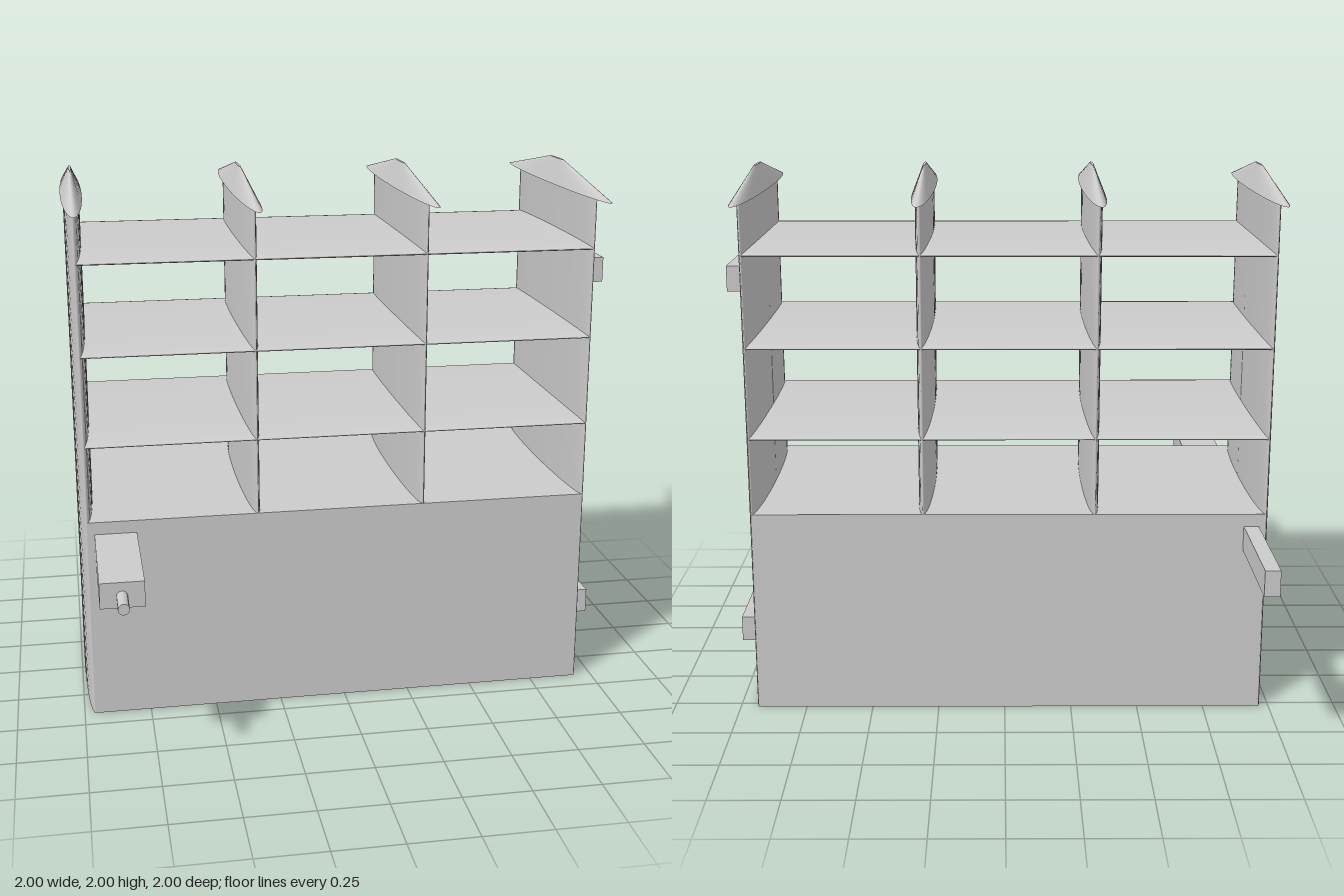
import * as THREE from 'three';

const MAT = new THREE.MeshStandardMaterial({ color: 0xcccccc });
const DEPTH = 0.47;   // half depth of posts and rails
const Z = -0.06;      // centre plane of the gate
const LEFT = 0.93, RIGHT = -0.96;

export function createModel() {
  const model = new THREE.Group();
  model.name = 'gate';

  const add = (name, geometry, x, y, z) => {
    const mesh = new THREE.Mesh(geometry, MAT);
    mesh.name = name;
    mesh.position.set(x, y, z);
    model.add(mesh);
    return mesh;
  };

  // box given by its limits on each axis
  const addBox = (name, [x0, x1], [y0, y1], [z0, z1]) =>
    add(name, new THREE.BoxGeometry(x1 - x0, y1 - y0, z1 - z0),
      (x0 + x1) / 2, (y0 + y1) / 2, (z0 + z1) / 2);

  // deep elliptical posts with blunt pointed caps
  for (let i = 0; i < 4; i++) {
    const x = RIGHT + i * (LEFT - RIGHT) / 3;
    const post = new THREE.CylinderGeometry(1, 1, 1.91, 48).scale(0.03, 1, DEPTH);
    add('post', post, x, 0.955, Z);
    const cap = new THREE.CylinderGeometry(0.128, 1, 0.092, 48).scale(0.04, 1, 0.625);
    add('postCap', cap, x, 1.954, Z);
  }

  // horizontal rails, flattened the same way
  for (const y of [1.05, 1.385, 1.72]) {
    const rail = new THREE.CylinderGeometry(1, 1, LEFT - RIGHT, 48)
      .rotateZ(Math.PI / 2).scale(1, 0.025, DEPTH);
    add('rail', rail, (LEFT + RIGHT) / 2, y, Z);
  }

  // solid lower panel
  addBox('panel', [RIGHT, LEFT], [0, 0.765], [Z - DEPTH, Z + DEPTH]);

  // hinge plates on the left side
  for (const y of [0.24, 1.58]) {
    addBox('hinge', [0.94, 0.995], [y, y + 0.093], [-0.455, 0.335]);
  }

  // latch block and pin in front, handle bar at the back
  addBox('latch', [-0.935, -0.78], [0.625, 0.718], [0.3, 0.885]);
  add('latchPin', new THREE.CylinderGeometry(0.02, 0.02, 0.135, 20).rotateX(Math.PI / 2),
    -0.858, 0.667, 0.9325);
  addBox('backHandle', [-0.935, -0.88], [0.625, 0.718], [-1, -0.4]);

  return model;
}
